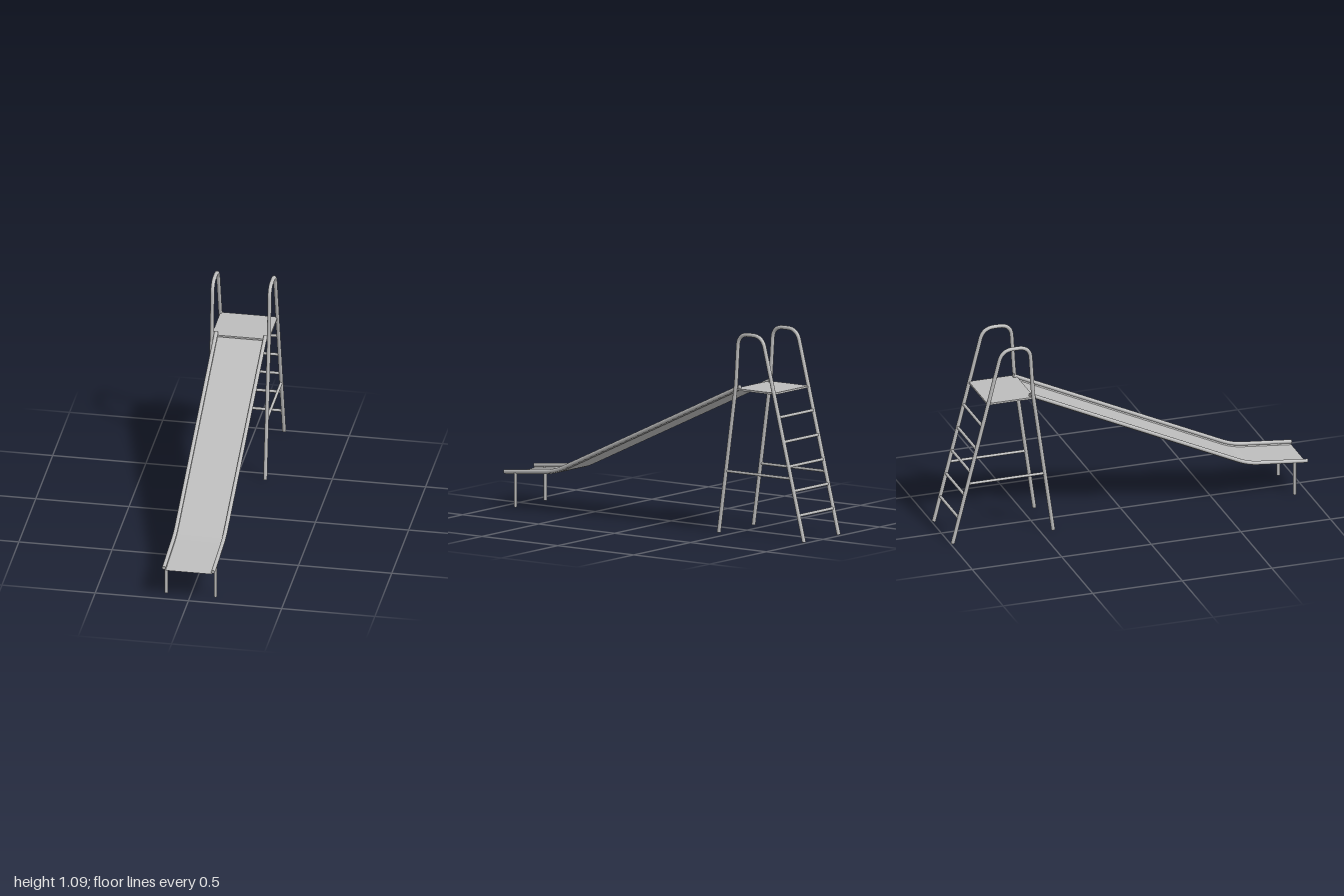
import * as THREE from 'three';
import { toCreasedNormals } from 'three/addons/utils/BufferGeometryUtils.js';

const steel = new THREE.MeshStandardMaterial({ color: 0xbcbcbc });
steel.name = 'steel';
const sheetSteel = new THREE.MeshStandardMaterial({ color: 0xbcbcbc, side: THREE.DoubleSide });
sheetSteel.name = 'sheetSteel';

const V = (x, y, z) => new THREE.Vector3(x, y, z);

// straight rod between two points
function rod(name, a, b, r) {
  const dir = b.clone().sub(a);
  const mesh = new THREE.Mesh(new THREE.CylinderGeometry(r, r, dir.length(), 16), steel);
  mesh.position.copy(a).add(b).multiplyScalar(0.5);
  mesh.quaternion.setFromUnitVectors(V(0, 1, 0), dir.normalize());
  mesh.name = name;
  return mesh;
}

// polyline with corners rounded over the given distances
function roundedPath(points, bends) {
  const path = new THREE.CurvePath();
  let from = points[0];
  for (let i = 1; i < points.length - 1; i++) {
    const p = points[i], d = bends[i - 1];
    const before = p.clone().add(points[i - 1].clone().sub(p).setLength(d));
    const after = p.clone().add(points[i + 1].clone().sub(p).setLength(d));
    path.add(new THREE.LineCurve3(from, before));
    path.add(new THREE.QuadraticBezierCurve3(before, p, after));
    from = after;
  }
  path.add(new THREE.LineCurve3(from, points[points.length - 1]));
  return path;
}

// bent pipe with closed ends
function pipe(name, path, r) {
  const group = new THREE.Group();
  group.name = name;
  const tube = new THREE.Mesh(new THREE.TubeGeometry(path, 160, r, 14), steel);
  tube.name = name + 'Tube';
  group.add(tube);
  for (const t of [0, 1]) {
    const cap = new THREE.Mesh(new THREE.CircleGeometry(r, 14), steel);
    const dir = path.getTangentAt(t).multiplyScalar(t ? 1 : -1);
    cap.position.copy(path.getPointAt(t));
    cap.quaternion.setFromUnitVectors(V(0, 0, 1), dir);
    cap.name = name + 'End';
    group.add(cap);
  }
  return group;
}

// shallow tray swept along the chute line: [x, offset below the rails]
function chuteGeometry(path) {
  const profile = [[-0.134, 0], [-0.123, -0.015], [0.123, -0.015], [0.134, 0]];
  const n = 120, pos = [], idx = [];
  for (let i = 0; i <= n; i++) {
    const p = path.getPointAt(i / n), t = path.getTangentAt(i / n);
    const up = V(0, -t.z, t.y);
    if (up.y < 0) up.negate();
    for (const [x, o] of profile) pos.push(x, p.y + up.y * o, p.z + up.z * o);
  }
  for (let i = 0; i < n; i++) {
    for (let j = 0; j < 3; j++) {
      const a = i * 4 + j, b = a + 4;
      idx.push(a, a + 1, b, a + 1, b + 1, b);
    }
  }
  const geo = new THREE.BufferGeometry();
  geo.setAttribute('position', new THREE.Float32BufferAttribute(pos, 3));
  geo.setIndex(idx);
  return toCreasedNormals(geo, 0.5);
}

export function createModel() {
  const model = new THREE.Group();
  model.name = 'playgroundSlide';

  const chuteLine = (x, topZ) => roundedPath([
    V(x, 0.183, 0.999), V(x, 0.216, 0.667), V(x, 0.53 - 0.47 * topZ, topZ),
  ], [0.06]);
  const backLegZ = (y) => -0.99 + 0.256 * y;

  for (const side of [-1, 1]) {
    const label = side > 0 ? 'left' : 'right';
    // ladder frame: front leg, handrail hoop and back leg in one pipe
    const x = 0.153 * side;
    model.add(pipe(label + 'LadderFrame', roundedPath([
      V(x, 0.002, -0.428), V(x, 0.8, -0.541), V(x, 1.077, -0.558),
      V(x, 1.077, backLegZ(1.077)), V(x, 0.003, backLegZ(0.003)),
    ], [0.04, 0.065, 0.06]), 0.0105));
    model.add(rod(label + 'FrameBrace', V(x, 0.335, -0.476), V(x, 0.335, backLegZ(0.335)), 0.0075));

    // slide rail and its front support
    const rx = 0.132 * side;
    model.add(pipe(label + 'SlideRail', chuteLine(rx, -0.552), 0.0105));
    model.add(rod(label + 'SlideSupport', V(rx, 0, 0.927), V(rx, 0.185, 0.927), 0.009));
  }

  // ladder rungs
  for (let i = 0; i < 5; i++) {
    const y = 0.142 + i * 0.128, z = backLegZ(y);
    model.add(rod('rung' + (i + 1), V(-0.153, y, z), V(0.153, y, z), 0.008));
  }

  // platform
  const platform = new THREE.Mesh(new THREE.BoxGeometry(0.306, 0.01, 0.262), steel);
  platform.position.set(0, 0.777, -0.664);
  platform.name = 'platform';
  model.add(platform);

  // sliding surface
  const chute = new THREE.Mesh(chuteGeometry(chuteLine(0, -0.535)), sheetSteel);
  chute.name = 'slideSurface';
  model.add(chute);

  return model;
}
